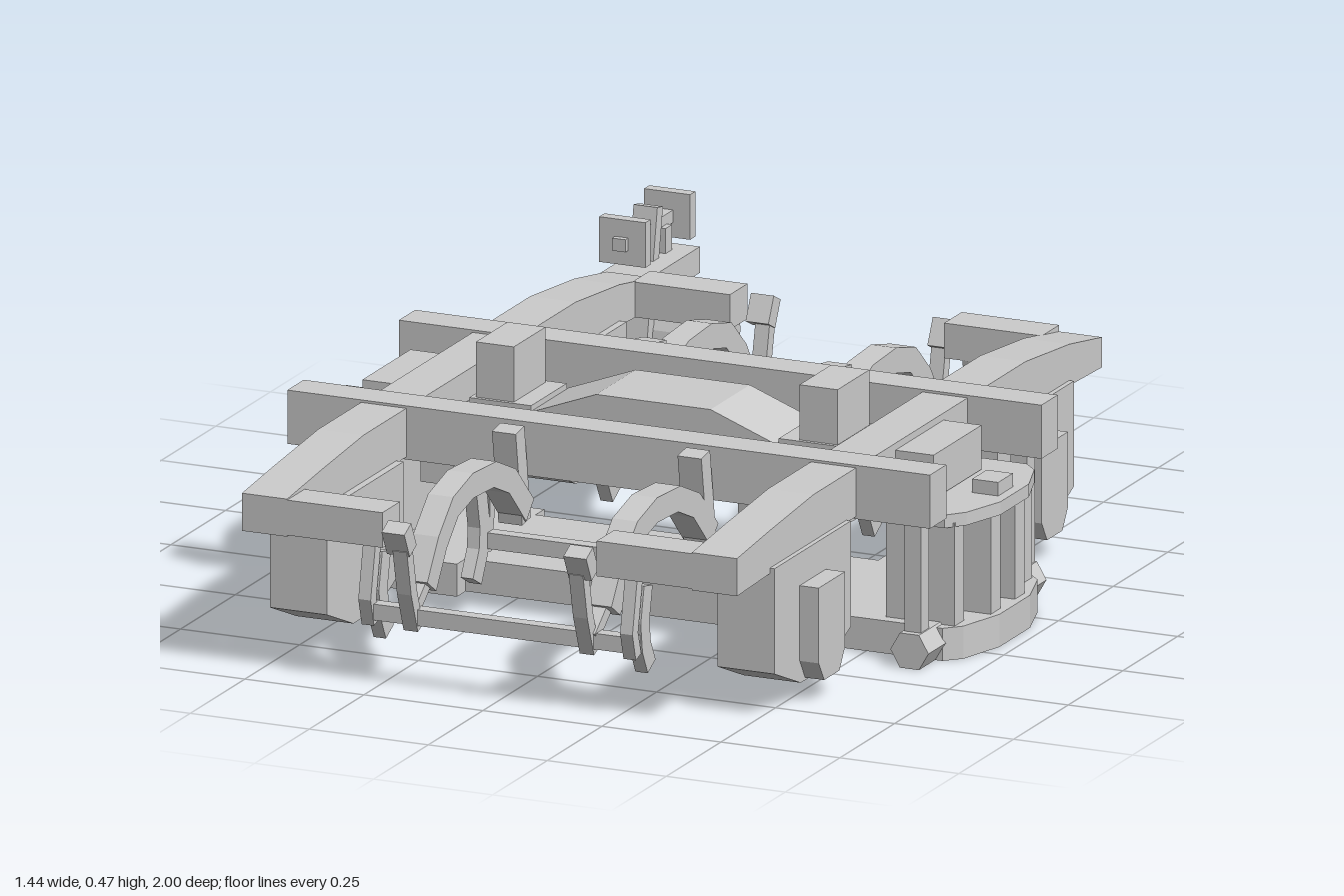
import * as THREE from 'three';

const MID = 0.135; // z of the truck's own centre line
const mat = new THREE.MeshStandardMaterial({ color: 0xcccccc, flatShading: true, side: THREE.DoubleSide });

function add(parent, name, geo) {
  const m = new THREE.Mesh(geo, mat);
  m.name = name;
  parent.add(m);
  return m;
}

// box given by its limits on each axis
function box(parent, name, x0, x1, y0, y1, z0, z1) {
  const g = new THREE.BoxGeometry(x1 - x0, y1 - y0, z1 - z0);
  g.translate((x0 + x1) / 2, (y0 + y1) / 2, (z0 + z1) / 2);
  return add(parent, name, g);
}

// [z, y] outline extruded from x0 to x1
function sideProfile(parent, name, pts, x0, x1) {
  const s = new THREE.Shape(pts.map(([z, y]) => new THREE.Vector2(-z, y)));
  const g = new THREE.ExtrudeGeometry(s, { depth: x1 - x0, bevelEnabled: false });
  g.rotateY(Math.PI / 2);
  g.translate(x0, 0, 0);
  return add(parent, name, g);
}

// [x, z] outline extruded from y0 to y1
function plan(parent, name, pts, y0, y1) {
  const s = new THREE.Shape(pts.map(([x, z]) => new THREE.Vector2(x, -z)));
  const g = new THREE.ExtrudeGeometry(s, { depth: y1 - y0, bevelEnabled: false });
  g.rotateX(-Math.PI / 2);
  g.translate(0, y0, 0);
  return add(parent, name, g);
}

// bent bar of constant thickness along a [z, y] centre line
function bar(parent, name, path, t, x0, x1) {
  const up = [], down = [];
  path.forEach((p, i) => {
    const a = path[Math.max(i - 1, 0)], b = path[Math.min(i + 1, path.length - 1)];
    const dz = b[0] - a[0], dy = b[1] - a[1], l = Math.hypot(dz, dy);
    up.push([p[0] - dy / l * t / 2, p[1] + dz / l * t / 2]);
    down.unshift([p[0] + dy / l * t / 2, p[1] - dz / l * t / 2]);
  });
  return sideProfile(parent, name, up.concat(down), x0, x1);
}

export function createModel() {
  const model = new THREE.Group();
  model.name = 'railTruck';

  // centre bolster with crowned top
  const bolster = new THREE.Group();
  bolster.name = 'bolster';
  model.add(bolster);
  box(bolster, 'bolsterBeam', -0.43, 0.43, 0.235, 0.33, 0.04, 0.22);
  const crown = new THREE.Shape([[-0.39, 0.32], [0.39, 0.32], [0.27, 0.345], [0.12, 0.402], [-0.12, 0.402], [-0.27, 0.345]]
    .map(p => new THREE.Vector2(...p)));
  const crownGeo = new THREE.ExtrudeGeometry(crown, { depth: 0.18, bevelEnabled: false });
  crownGeo.translate(0, 0, 0.04);
  add(bolster, 'bolsterCrown', crownGeo);

  // spring plank: narrow waist and chamfered ends
  const q = [[0.36, 0.16], [0.36, 0.2], [0.66, 0.2], [0.69, 0.17], [0.72, 0.07]];
  const right = q.map(([x, z]) => [x, z + MID]).concat(q.slice().reverse().map(([x, z]) => [x, MID - z]));
  const left = right.map(([x, z]) => [-x, 2 * MID - z]);
  plan(model, 'springPlank', right.concat(left), 0, 0.065);

  // cross transoms, mirrored front to back
  for (const [z0, z1] of [[-0.16, -0.085], [0.35, 0.425]])
    box(model, 'transom', -0.675, 0.675, 0.29, 0.397, z0, z1);

  for (const s of [-1, 1]) {
    const side = new THREE.Group();
    side.name = s > 0 ? 'leftSide' : 'rightSide';
    model.add(side);
    const sx = (a, b) => (s > 0 ? [a, b] : [-b, -a]);

    // arched side frame
    sideProfile(side, 'sideFrame', [[0.97, 0.285], [0.6, 0.295], [-0.35, 0.295], [-0.7, 0.285],
      [-0.7, 0.345], [-0.55, 0.372], [-0.35, 0.392], [0.62, 0.392], [0.82, 0.375], [0.97, 0.36]], ...sx(0.425, 0.52));
    box(side, 'innerRail', ...sx(0.36, 0.43), 0.225, 0.29, -0.085, 0.35);
    box(side, 'sideBearer', ...sx(0.3, 0.38), 0.32, 0.47, 0.06, 0.205);
    box(side, 'bearerBase', ...sx(0.26, 0.39), 0.32, 0.36, 0.05, 0.213);
    box(side, 'bolsterEnd', ...sx(0.5, 0.6), 0.29, 0.378, 0.025, 0.245);

    // spring nest between plank and bolster end
    plan(side, 'springCap', [[0.53, -0.05], [0.66, -0.05], [0.69, -0.02], [0.72, 0.07], [0.72, 0.2], [0.69, 0.29], [0.66, 0.325], [0.53, 0.325]]
      .map(([x, z]) => [s * x, z]), 0.262, 0.288);
    box(side, 'springCore', ...sx(0.53, 0.64), 0.06, 0.27, -0.04, 0.31);
    for (const z of [-0.02, 0.08, 0.19, 0.29])
      box(side, 'springPillar', ...sx(0.6, z > 0 && z < 0.25 ? 0.705 : 0.675), 0.06, 0.27, z - 0.022, z + 0.022);
    box(side, 'springStop', ...sx(0.645, 0.7), 0.28, 0.315, 0.1, 0.167);

    // swing hangers and hexagonal pins
    const pin = new THREE.CylinderGeometry(0.04, 0.04, 0.54, 6);
    pin.rotateZ(0);
    pin.rotateY(Math.PI / 6);
    pin.rotateX(Math.PI / 2);
    pin.translate(s * 0.625, 0.035, 0.14);
    add(side, 'hangerPin', pin);
    for (const z of [-0.115, 0.37])
      box(side, 'swingHanger', ...sx(0.608, 0.642), 0.03, 0.3, z - 0.012, z + 0.025);

    // each end, mirrored about the truck centre line
    for (const e of [-1, 1]) {
      const end = new THREE.Group();
      end.name = e > 0 ? 'frontEnd' : 'rearEnd';
      side.add(end);
      const Z = z => MID + e * (z - MID);
      const zz = (a, b) => (e > 0 ? [a, b] : [Z(b), Z(a)]);
      const P = pts => pts.map(([z, y]) => [Z(z), y]);

      box(end, 'endBeam', ...sx(0.225, 0.43), 0.288, 0.358, ...zz(0.89, 0.97));

      // axle box and guide
      sideProfile(end, 'axleGuide', P([[0.82, 0.3], [0.82, 0.09], [0.7, 0.04], [0.59, 0.04], [0.47, 0.09], [0.47, 0.3]]), ...sx(0.41, 0.53));
      sideProfile(end, 'axleBoxCover', P([[0.705, 0.235], [0.705, 0.085], [0.68, 0.045], [0.61, 0.045], [0.585, 0.085], [0.585, 0.235]]), ...sx(0.5, 0.57));

      // curved brake shoes with their hangers
      bar(end, 'outerBrakeShoe', P([[0.855, 0.085], [0.878, 0.13], [0.885, 0.18], [0.87, 0.25]]), 0.04, ...sx(0.262, 0.288));
      bar(end, 'outerShoeHanger', P([[0.915, 0.12], [0.93, 0.17], [0.905, 0.29]]), 0.026, ...sx(0.262, 0.288));
      bar(end, 'innerBrakeShoe', P([[0.455, 0.075], [0.425, 0.13], [0.42, 0.18], [0.435, 0.25]]), 0.045, ...sx(0.262, 0.288));
      bar(end, 'innerShoeHanger', P([[0.4, 0.12], [0.385, 0.2], [0.395, 0.3]]), 0.022, ...sx(0.262, 0.288));

      // arched brake lever with upright posts
      bar(end, 'brakeLever', P([[0.87, 0.19], [0.82, 0.265], [0.76, 0.32], [0.68, 0.34], [0.58, 0.335], [0.5, 0.3], [0.42, 0.22]]), 0.05, ...sx(0.167, 0.22));
      bar(end, 'innerPost', P([[0.43, 0.2], [0.46, 0.39]]), 0.04, ...sx(0.17, 0.22));
      bar(end, 'outerPost', P([[0.915, 0.12], [0.945, 0.2], [0.965, 0.29]]), 0.026, ...sx(0.17, 0.2));
      bar(end, 'postHead', P([[0.955, 0.285], [0.98, 0.335]]), 0.035, ...sx(0.167, 0.215));
      bar(end, 'leverLink', P([[0.86, 0.2], [0.925, 0.15]]), 0.025, ...sx(0.175, 0.205));
    }
  }

  // brake cross rods
  for (const z of [0.915, 0.395, -0.125, -0.645])
    box(model, 'brakeCrossRod', -0.285, 0.285, 0.128, 0.16, z - 0.014, z + 0.014);

  // generator hung from the extended rear corner
  const gen = new THREE.Group();
  gen.name = 'generatorAssembly';
  model.add(gen);
  box(gen, 'generatorBracket', -0.535, -0.435, 0.288, 0.34, -0.94, -0.69);
  const drum = new THREE.CylinderGeometry(0.077, 0.077, 0.21, 20);
  drum.rotateZ(Math.PI / 2);
  drum.translate(-0.465, 0.18, -0.885);
  add(gen, 'generatorDrum', drum);
  bar(gen, 'generatorStrap', [[-0.795, 0.17], [-0.845, 0.44]], 0.026, -0.525, -0.475);
  box(gen, 'tensionRod', -0.514, -0.486, 0.385, 0.41, -1, -0.71);
  for (const z of [-0.735, -0.94])
    box(gen, 'tensionPlate', -0.547, -0.45, 0.355, 0.445, z - 0.012, z + 0.012);
  box(gen, 'bracketPost', -0.525, -0.475, 0.33, 0.39, -0.9, -0.87);

  // drive belt runs
  bar(gen, 'upperBelt', [[-0.9, 0.252], [-0.4, 0.29]], 0.004, -0.64, -0.585);
  bar(gen, 'lowerBelt', [[-0.9, 0.11], [-0.4, 0.07]], 0.004, -0.64, -0.585);

  return model;
}
